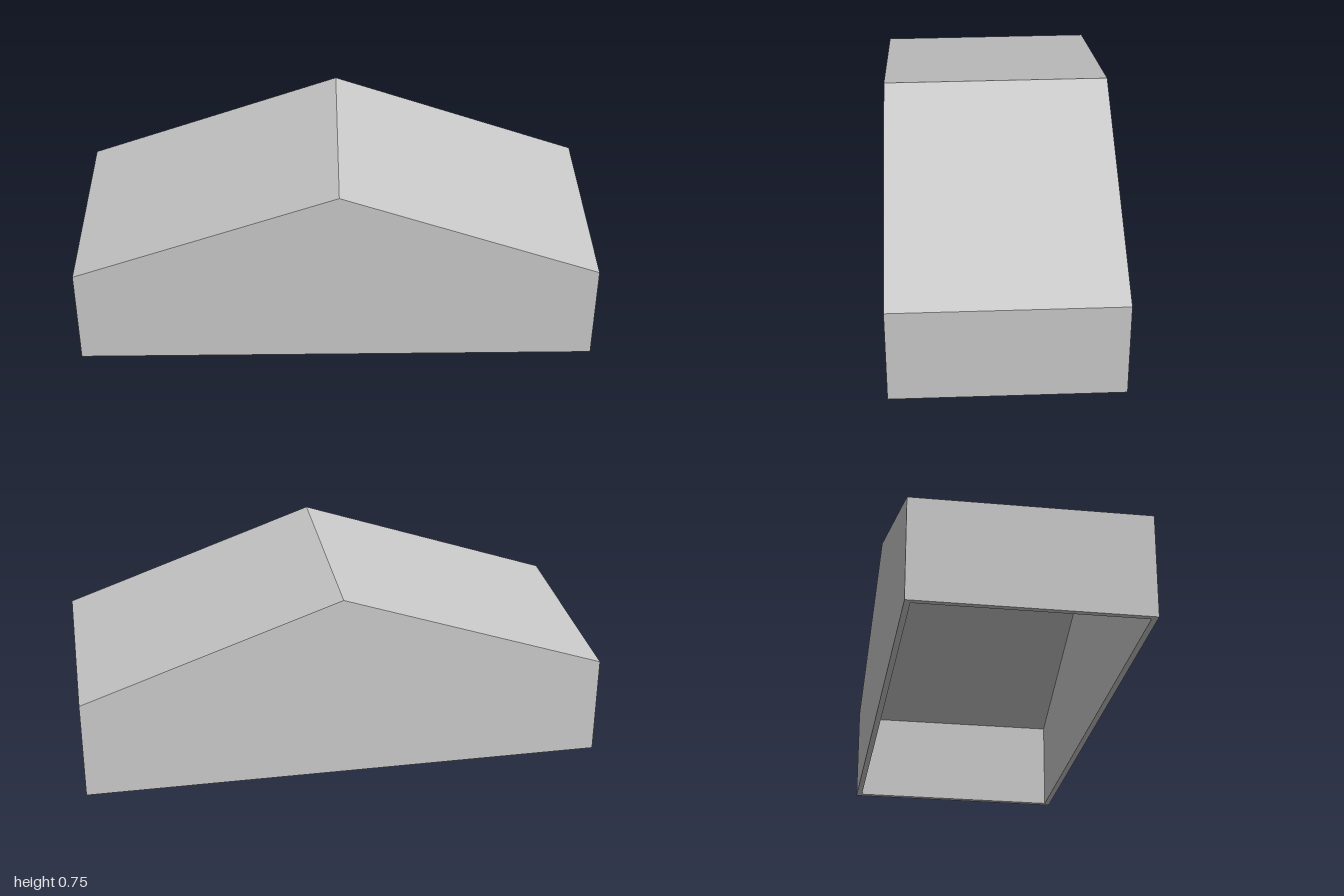
import * as THREE from 'three';

const RIDGE_X = 0.01, HALF_D = 0.435, WALL = 0.022;

// Gable outline from half width, eave height and ridge height
function gable(halfW, eave, ridge) {
  return new THREE.Shape([
    [-halfW, 0], [halfW, 0], [halfW, eave], [RIDGE_X, ridge], [-halfW, eave],
  ].map(([x, y]) => new THREE.Vector2(x, y)));
}

function extrude(shape, z0, z1) {
  return new THREE.ExtrudeGeometry(shape, { depth: z1 - z0, bevelEnabled: false }).translate(0, 0, z0);
}

export function createModel() {
  const group = new THREE.Group();
  group.name = 'gabledCover';
  const material = new THREE.MeshStandardMaterial({ color: 0xcccccc, flatShading: true });
  const add = (name, geometry) => {
    const mesh = new THREE.Mesh(geometry, material);
    mesh.name = name;
    group.add(mesh);
  };

  // Side walls and roof as one band, open underneath
  const inner = 1 - WALL, eave = 0.36, ridge = 0.705;
  const band = new THREE.Shape([
    [-1, 0], [-inner, 0], [-inner, eave], [RIDGE_X, ridge], [inner, eave], [inner, 0],
    [1, 0], [1, 0.392], [RIDGE_X, 0.745], [-1, 0.392],
  ].map(([x, y]) => new THREE.Vector2(x, y)));
  add('sideWallsAndRoof', extrude(band, -HALF_D, HALF_D));

  // Gable walls fitted inside the band, flush with its ends
  const infill = gable(inner, eave, ridge);
  add('frontWall', extrude(infill, HALF_D - WALL, HALF_D));
  add('backWall', extrude(infill, -HALF_D, -HALF_D + WALL));
  return group;
}
